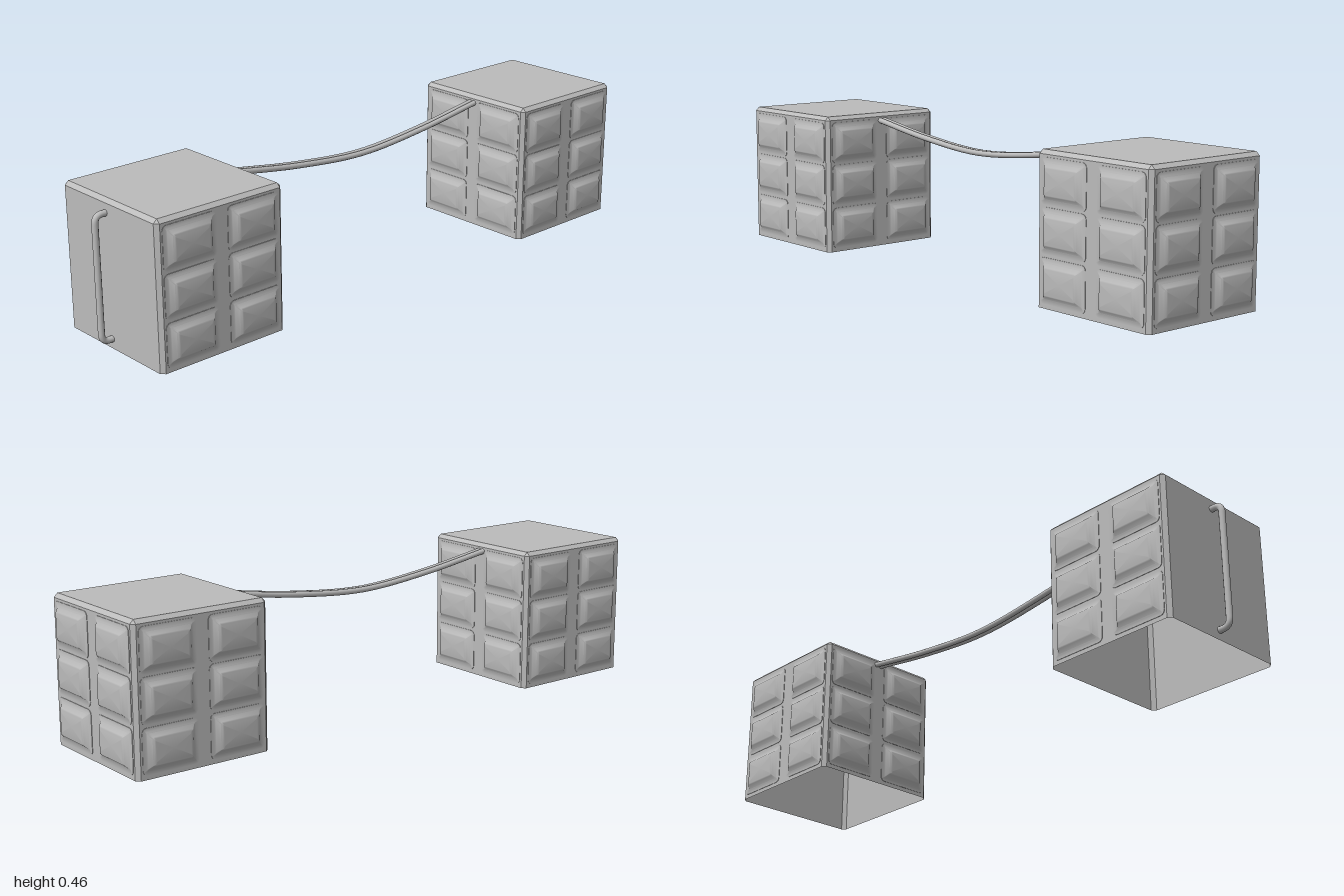
import * as THREE from 'three';
import { toCreasedNormals } from 'three/addons/utils/BufferGeometryUtils.js';

const HALF = 0.2245, HEIGHT = 0.46, CHAMFER = 0.012;

// Rounded rectangle as a counter-clockwise loop of [x, y] points
function roundedLoop(w, h, r, seg) {
  const pts = [];
  for (let c = 0; c < 4; c++) {
    const cx = (w / 2 - r) * (c === 0 || c === 3 ? 1 : -1);
    const cy = (h / 2 - r) * (c < 2 ? 1 : -1);
    for (let s = 0; s <= seg; s++) {
      const a = (c + s / seg) * Math.PI / 2;
      pts.push([cx + r * Math.cos(a), cy + r * Math.sin(a)]);
    }
  }
  return pts;
}

// Skin over [inset, z] sections of a rounded rectangle, capped at the top
function loft(w, h, radius, minRadius, seg, sections, crease) {
  const pos = [], index = [], n = 4 * (seg + 1);
  for (const [inset, z] of sections) {
    const r = Math.max(radius - inset, minRadius);
    for (const [x, y] of roundedLoop(w - 2 * inset, h - 2 * inset, r, seg)) pos.push(x, y, z);
  }
  for (let k = 0; k < sections.length - 1; k++) {
    for (let i = 0; i < n; i++) {
      const a = k * n + i, b = k * n + (i + 1) % n;
      index.push(a, b, b + n, a, b + n, a + n);
    }
  }
  const last = (sections.length - 1) * n, centre = sections.length * n;
  pos.push(0, 0, sections[sections.length - 1][1]);
  for (let i = 0; i < n; i++) index.push(centre, last + i, last + (i + 1) % n);
  const geo = new THREE.BufferGeometry();
  geo.setAttribute('position', new THREE.Float32BufferAttribute(pos, 3));
  geo.setIndex(index);
  return toCreasedNormals(geo, crease);
}

export function createModel() {
  const model = new THREE.Group();
  model.name = 'linkedBoxes';
  const grey = new THREE.MeshStandardMaterial({ color: 0xbcbcbc, side: THREE.DoubleSide });
  grey.name = 'grey';

  function add(parent, name, geo) {
    const mesh = new THREE.Mesh(geo, grey);
    mesh.name = name;
    parent.add(mesh);
    return mesh;
  }

  // Hollow body, open underneath, with chamfered top and upright edges
  const shellGeo = loft(2 * HALF, 2 * HALF, CHAMFER, 0.0002, 1,
    [[0, 0], [0, HEIGHT - CHAMFER], [CHAMFER, HEIGHT]], 0.2);
  shellGeo.rotateX(-Math.PI / 2);

  // Pressed panel: thin rim, then a soft-edged raised field
  const panelGeo = loft(0.186, 0.137, 0.015, 0.005, 4,
    [[0, 0], [0, 0.0015], [0.012, 0.0015], [0.016, 0.003], [0.026, 0.0135],
      [0.030, 0.016], [0.036, 0.0163]], 0.75);

  // One box with a 2 x 3 grid of panels on each listed side
  function addBox(name, x, sides) {
    const box = new THREE.Group();
    box.name = name;
    box.position.x = x;
    add(box, 'shell', shellGeo);
    for (const [side, angle] of sides) {
      const face = new THREE.Group();
      face.name = side + 'Panels';
      face.rotation.y = angle;
      for (const px of [-0.113, 0.113]) {
        for (const py of [0.082, 0.228, 0.3715]) {
          add(face, 'panel', panelGeo).position.set(px, py, HALF);
        }
      }
      box.add(face);
    }
    model.add(box);
  }
  const front = ['front', 0], back = ['back', Math.PI];
  const left = ['left', Math.PI / 2], right = ['right', -Math.PI / 2];
  addBox('leftBox', 0.758, [front, back, left, right]);
  addBox('rightBox', -0.729, [front, back, left]);

  // Twin sagging cable between the boxes
  const cable = new THREE.Group();
  cable.name = 'cable';
  for (const z of [-0.014, 0.004]) {
    const path = new THREE.CatmullRomCurve3(
      [[-0.515, 0.436], [-0.25, 0.396], [0.015, 0.375], [0.28, 0.396], [0.545, 0.436]]
        .map(([x, y]) => new THREE.Vector3(x, y, z)));
    add(cable, 'cableStrand', new THREE.TubeGeometry(path, 32, 0.009, 10));
  }
  model.add(cable);

  // Upright grab handle on the plain side
  const v = (x, y) => new THREE.Vector3(x, y, -0.014);
  const X0 = -0.945, X1 = -0.99, Y0 = 0.031, Y1 = 0.418, R = 0.025;
  const path = new THREE.CurvePath();
  path.add(new THREE.LineCurve3(v(X0, Y1), v(X1 + R, Y1)));
  path.add(new THREE.QuadraticBezierCurve3(v(X1 + R, Y1), v(X1, Y1), v(X1, Y1 - R)));
  path.add(new THREE.LineCurve3(v(X1, Y1 - R), v(X1, Y0 + R)));
  path.add(new THREE.QuadraticBezierCurve3(v(X1, Y0 + R), v(X1, Y0), v(X1 + R, Y0)));
  path.add(new THREE.LineCurve3(v(X1 + R, Y0), v(X0, Y0)));
  add(model, 'handle', new THREE.TubeGeometry(path, 80, 0.01, 12));

  return model;
}
